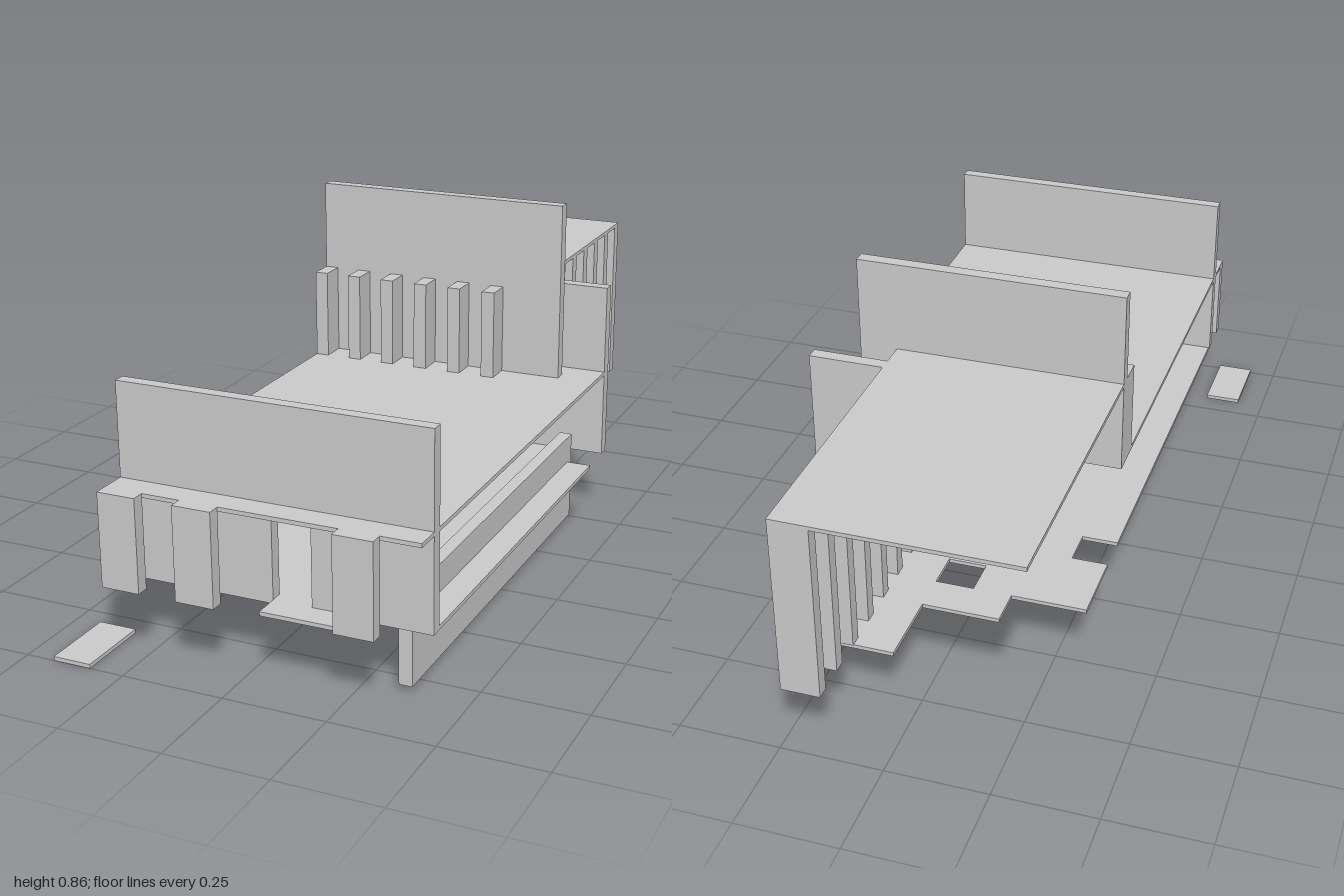
import * as THREE from 'three';

const material = new THREE.MeshStandardMaterial({ color: 0xcccccc, flatShading: true });

export function createModel() {
  const model = new THREE.Group();

  // Box given by its limits on each axis
  const box = (name, [x0, x1], [y0, y1], [z0, z1]) => {
    const mesh = new THREE.Mesh(new THREE.BoxGeometry(x1 - x0, y1 - y0, z1 - z0), material);
    mesh.position.set((x0 + x1) / 2, (y0 + y1) / 2, (z0 + z1) / 2);
    mesh.name = name;
    model.add(mesh);
  };

  // Flat slab from an outline of [x, z] corners, with optional holes
  const slab = (name, outline, y0, y1, holes = []) => {
    const points = (list) => list.map(([x, z]) => new THREE.Vector2(x, -z));
    const shape = new THREE.Shape(points(outline));
    holes.forEach((h) => shape.holes.push(new THREE.Path(points(h))));
    const geometry = new THREE.ExtrudeGeometry(shape, { depth: y1 - y0, bevelEnabled: false });
    geometry.rotateX(-Math.PI / 2);
    const mesh = new THREE.Mesh(geometry, material);
    mesh.position.y = y0;
    mesh.name = name;
    model.add(mesh);
  };

  // Doorstep plate and long foundation board
  box('groundPlate', [-0.43, -0.335], [0, 0.01], [0.81, 1]);
  box('foundationBoard', [0.332, 0.364], [0.012, 0.24], [-0.235, 0.81]);

  // Lower floor with porch, stepped rear edge and opening
  slab('lowerFloor', [
    [-0.33, 0.84], [0.045, 0.84], [0.045, 0.905], [0.237, 0.905], [0.237, 0.84],
    [0.427, 0.84], [0.427, -0.205], [0.332, -0.205], [0.332, -0.3], [0.237, -0.3],
    [0.237, -0.805], [0.045, -0.805], [0.045, -0.615], [-0.145, -0.615], [-0.145, -0.52],
    [-0.33, -0.52], [-0.33, -0.33], [-0.24, -0.33], [-0.24, -0.235], [-0.33, -0.235],
  ], 0.162, 0.172, [[[-0.05, -0.425], [0.045, -0.425], [0.045, -0.52], [-0.05, -0.52]]]);

  // Middle deck
  slab('middleDeck', [
    [-0.333, 0.905], [0.427, 0.905], [0.427, -0.3], [0.237, -0.3],
    [0.237, -0.235], [-0.333, -0.235],
  ], 0.39, 0.4);

  // Front wall with doorway, rising above the deck as a parapet
  box('frontParapet', [-0.333, 0.427], [0.4, 0.628], [0.81, 0.841]);
  box('frontWall', [-0.333, 0.045], [0.172, 0.39], [0.81, 0.841]);
  box('frontWall', [0.14, 0.427], [0.172, 0.39], [0.81, 0.841]);

  // Columns along the front edge of the deck
  for (const x of [-0.333, -0.145, 0.237]) {
    box('frontColumn', [x, x + 0.095], [0.172, 0.4], [0.905, 0.937]);
  }

  // Tall back panel with a row of posts
  box('backPanel', [-0.333, 0.332], [0.4, 0.856], [-0.237, -0.205]);
  for (let i = 0; i < 6; i++) {
    const x = -0.333 + i * 0.095;
    box('panelPost', [x, x + 0.034], [0.4, 0.628], [-0.205, -0.14]);
  }

  // Rear wall, roof and its fins
  box('rearWall', [0.142, 0.427], [0.172, 0.628], [-0.333, -0.3]);
  box('rearRoof', [-0.333, 0.237], [0.618, 0.628], [-1, -0.237]);
  for (let i = 1; i <= 7; i++) {
    const z = -0.3 - i * 0.0953;
    box('roofFin', [0.142, 0.237], [0.172, 0.618], [z - 0.032, z]);
  }

  return model;
}
